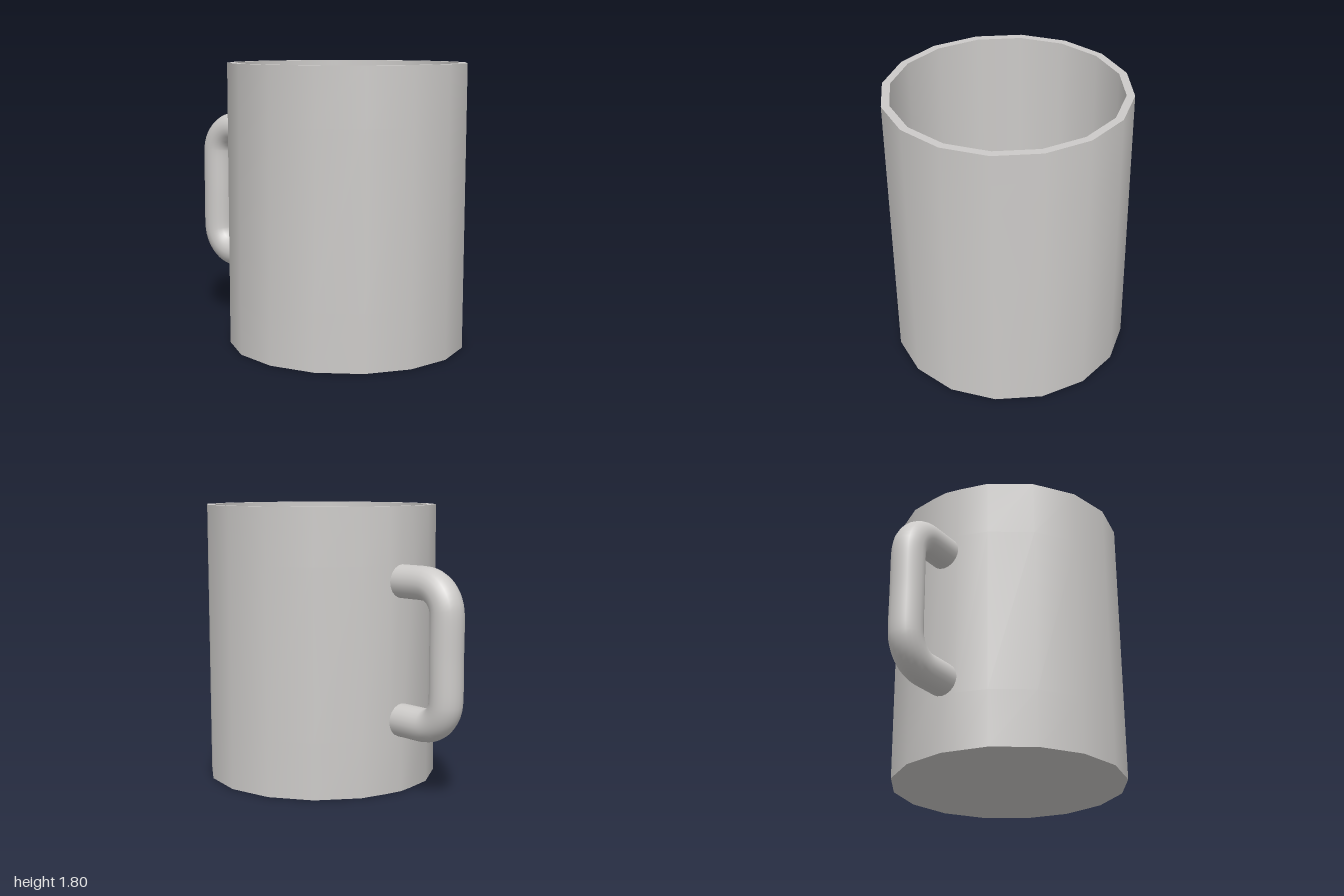
import * as THREE from 'three';

const SIDES = 16, OUTER = 0.76, INNER = 0.71, HEIGHT = 1.8, FLOOR = 0.05;

// Outer wall: sixteen-sided, with the handle side pushed out to a flat mounting strip
function outerWallGeometry() {
  const columns = [];
  const chordX = -OUTER * (1 - (1 - Math.cos(Math.PI / 8)) * 0.1 / (OUTER * Math.sin(Math.PI / 8)) * OUTER);
  for (let i = 0; i < SIDES; i++) {
    const a = (i / SIDES) * Math.PI * 2;
    const x = Math.cos(a) * OUTER, z = Math.sin(a) * OUTER;
    if (i === SIDES / 2) columns.push({ x: chordX, z: 0.1, strip: true });
    columns.push({ x, z });
    if (i === SIDES / 2) columns.push({ x: chordX, z: -0.1, strip: true });
  }
  const rows = [0, 0.36, 1.44, HEIGHT];
  const positions = [], index = [];
  rows.forEach((y, r) => {
    const atHandle = r === 1 || r === 2;
    for (const c of columns) positions.push(c.strip && atHandle ? -OUTER : c.x, y, c.z);
  });
  const n = columns.length;
  for (let r = 0; r < rows.length - 1; r++) {
    for (let i = 0; i < n; i++) {
      const a = r * n + i, c = r * n + (i + 1) % n;
      index.push(a, a + n, c, a + n, c + n, c);
    }
  }
  const geometry = new THREE.BufferGeometry();
  geometry.setAttribute('position', new THREE.Float32BufferAttribute(positions, 3));
  geometry.setIndex(index);
  geometry.computeVertexNormals();
  return geometry;
}

// Handle centre line: two straight arms joined to the grip by round corners
function handleGeometry() {
  const top = 1.34, bottom = 0.465, gripX = -0.895, bend = 0.18, root = -0.5;
  const v = (x, y) => new THREE.Vector3(x, y, 0);
  const points = [v(root, top), v(-0.6, top)];
  const addBend = (cy, from) => {
    for (let i = 0; i <= 6; i++) {
      const a = from + (i / 6) * Math.PI / 2;
      points.push(v(gripX + bend + Math.cos(a) * bend, cy + Math.sin(a) * bend));
    }
  };
  addBend(top - bend, Math.PI / 2);
  points.push(v(gripX, (top + bottom) / 2));
  addBend(bottom + bend, Math.PI);
  points.push(v(-0.6, bottom), v(root, bottom));
  return new THREE.TubeGeometry(new THREE.CatmullRomCurve3(points), 64, 0.105, 20);
}

export function createModel() {
  const model = new THREE.Group();
  model.name = 'mug';
  const ceramic = new THREE.MeshStandardMaterial({ color: 0xcccac8 });
  ceramic.name = 'warm grey ceramic';

  const add = (parent, name, geometry) => {
    const mesh = new THREE.Mesh(geometry, ceramic);
    mesh.name = name;
    parent.add(mesh);
  };

  const cup = new THREE.Group();
  cup.name = 'cup';
  cup.position.x = 0.24;
  model.add(cup);

  add(cup, 'outerWall', outerWallGeometry());
  // Listed top down so the lining faces inward
  add(cup, 'innerWall', new THREE.LatheGeometry(
    [new THREE.Vector2(INNER, HEIGHT), new THREE.Vector2(INNER, FLOOR)], SIDES));
  add(cup, 'rim', new THREE.RingGeometry(INNER, OUTER, SIDES).rotateX(-Math.PI / 2).translate(0, HEIGHT, 0));
  add(cup, 'innerFloor', new THREE.CircleGeometry(INNER, SIDES).rotateX(-Math.PI / 2).translate(0, FLOOR, 0));
  add(cup, 'base', new THREE.CircleGeometry(OUTER, SIDES).rotateX(Math.PI / 2));

  add(model, 'handle', handleGeometry());
  return model;
}
